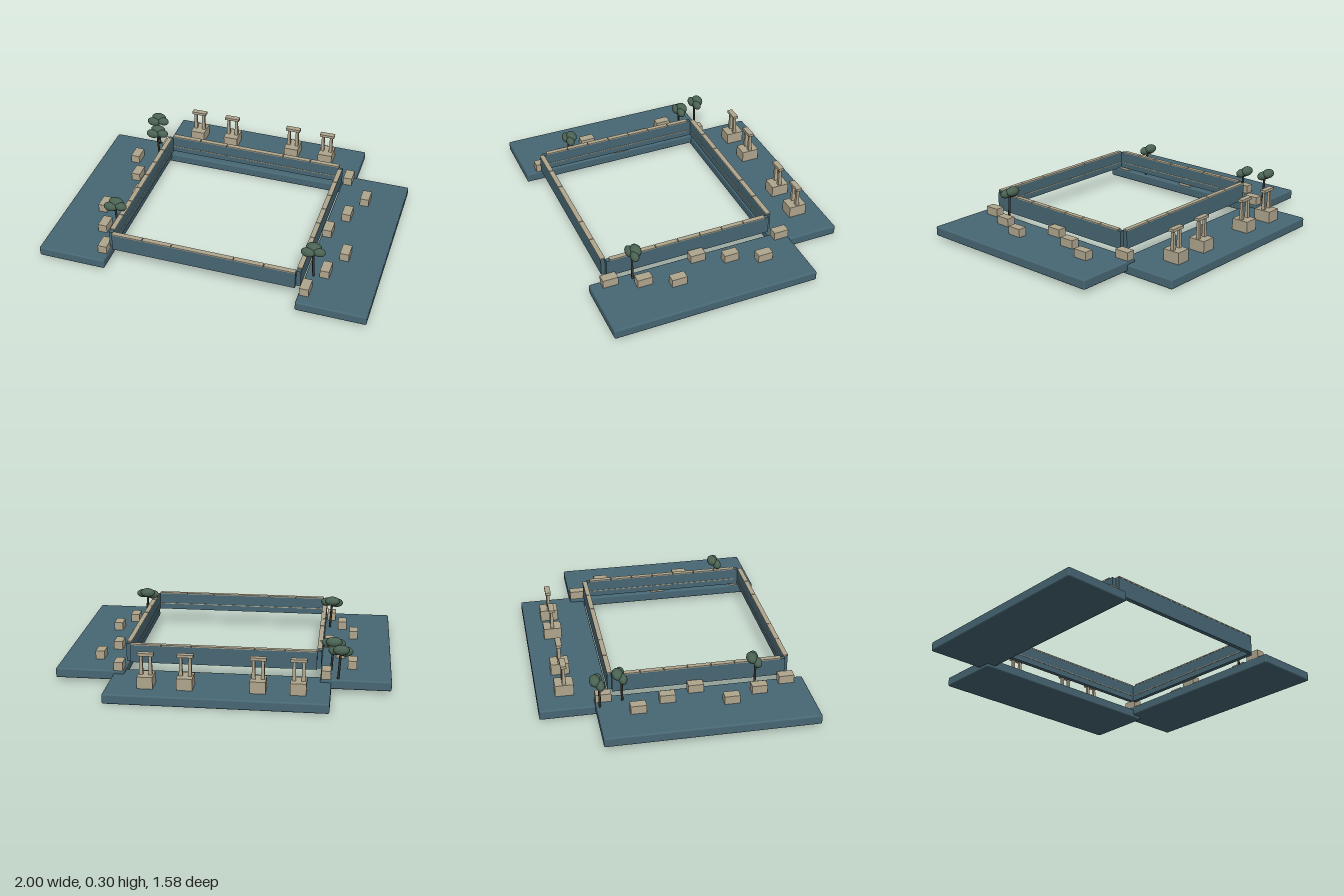
import * as THREE from 'three';
import { RoundedBoxGeometry } from 'three/addons/geometries/RoundedBoxGeometry.js';

const mat = (name, color) => {
  const m = new THREE.MeshStandardMaterial({ color });
  m.name = name;
  return m;
};

export function createModel() {
  const blue = mat('slate blue', 0x476774);
  const stone = mat('warm stone', 0xb0a68e);
  const leaf = mat('dark green', 0x4a6353);
  const bark = mat('dark bark', 0x3a342c);

  const model = new THREE.Group();
  model.name = 'courtyard';

  const add = (parent, name, geo, material, x, y, z) => {
    const mesh = new THREE.Mesh(geo, material);
    mesh.name = name;
    mesh.position.set(x, y, z);
    parent.add(mesh);
    return mesh;
  };
  const box = (parent, name, w, h, d, material, x, y, z) =>
    add(parent, name, new THREE.BoxGeometry(w, h, d), material, x, y, z);
  const group = (name, x = 0, y = 0, z = 0) => {
    const g = new THREE.Group();
    g.name = name;
    g.position.set(x, y, z);
    model.add(g);
    return g;
  };

  // Terraces with softly rounded edges
  const slab = (name, w, h, d, x, y, z) =>
    add(model, name, new RoundedBoxGeometry(w, h, d, 2, 0.01), blue, x, y, z);
  slab('backTerrace', 1.298, 0.06, 0.415, 0, 0.03, -0.5825);
  slab('leftTerrace', 0.417, 0.06, 1.25, 0.7915, 0.05, 0.16);
  slab('rightTerrace', 0.417, 0.06, 1.25, -0.7915, 0.05, 0.16);

  // Enclosing wall: built along local x, its inner face towards local +z
  const wall = (name, length, capLength, seams, x, z, turn) => {
    const g = group(name, x, 0, z);
    g.rotation.y = turn;
    box(g, 'wallPanel', length, 0.109, 0.026, blue, 0, 0.1605, 0);
    const stops = [-capLength / 2, ...seams, capLength / 2];
    for (let i = 0; i < stops.length - 1; i++) {
      const w = stops[i + 1] - stops[i] - 0.004;
      const mid = (stops[i] + stops[i + 1]) / 2;
      box(g, 'wallCap', w, 0.007, 0.029, stone, mid, 0.2185, 0);
      box(g, 'wallTrim', w, 0.005, 0.003, stone, mid, 0.145, 0.0142);
    }
  };
  const crossSeams = [-0.37, -0.19, 0.19, 0.37];
  const sideSeams = [-0.35, -0.21, -0.07, 0.07, 0.21, 0.35];
  wall('backWall', 1.12, 1.12, crossSeams, 0, -0.368, 0);
  wall('frontWall', 1.12, 1.12, crossSeams, 0, 0.684, Math.PI);
  wall('rightWall', 1.03, 0.985, sideSeams, -0.573, 0.158, Math.PI / 2);
  wall('leftWall', 1.03, 0.985, sideSeams, 0.573, 0.158, -Math.PI / 2);

  // Staggered stone blocks on both side terraces
  for (const side of [-1, 1]) {
    for (let i = 0; i < 7; i++) {
      const x = side * (0.618 + 0.075 * (i % 3));
      box(model, 'stoneBlock', 0.055, 0.052, 0.092, stone, x, 0.105, 0.672 - 0.1815 * i);
    }
  }

  // Stone gates on plinths along the back terrace
  for (const x of [-0.467, -0.235, 0.186, 0.417]) {
    const g = group('stoneGate', x, 0, -0.627);
    box(g, 'plinth', 0.092, 0.073, 0.11, stone, 0, 0.095, 0);
    for (const side of [-1, 1]) {
      const post = add(g, 'post', new THREE.CylinderGeometry(0.011, 0.0155, 0.116, 4, 1),
        stone, side * 0.027, 0.188, 0);
      post.geometry.rotateY(Math.PI / 4);
      post.geometry = post.geometry.toNonIndexed();
      post.geometry.computeVertexNormals();
    }
    box(g, 'lintel', 0.095, 0.017, 0.034, stone, 0, 0.254, 0);
  }

  // Trees: slightly leaning trunk and three flattened crowns
  const crowns = [
    [-0.027, 0.25, 0.012, 0.043, 0.029, 0.026],
    [-0.001, 0.268, -0.016, 0.048, 0.03, 0.032],
    [0.036, 0.257, 0.004, 0.038, 0.027, 0.025],
  ];
  for (const [x, z] of [[-0.7, -0.455], [-0.655, -0.32], [-0.623, 0.475], [0.617, 0.522]]) {
    const tree = group('tree', x, 0, z);
    const path = new THREE.LineCurve3(
      new THREE.Vector3(0.012, 0.075, 0.012), new THREE.Vector3(0.002, 0.25, 0.008));
    add(tree, 'trunk', new THREE.TubeGeometry(path, 1, 0.007, 8), bark, 0, 0, 0);
    for (const [cx, cy, cz, rx, ry, rz] of crowns) {
      const geo = new THREE.SphereGeometry(1, 14, 10);
      geo.scale(rx, ry, rz);
      add(tree, 'crown', geo, leaf, cx, cy, cz);
    }
  }

  return model;
}
